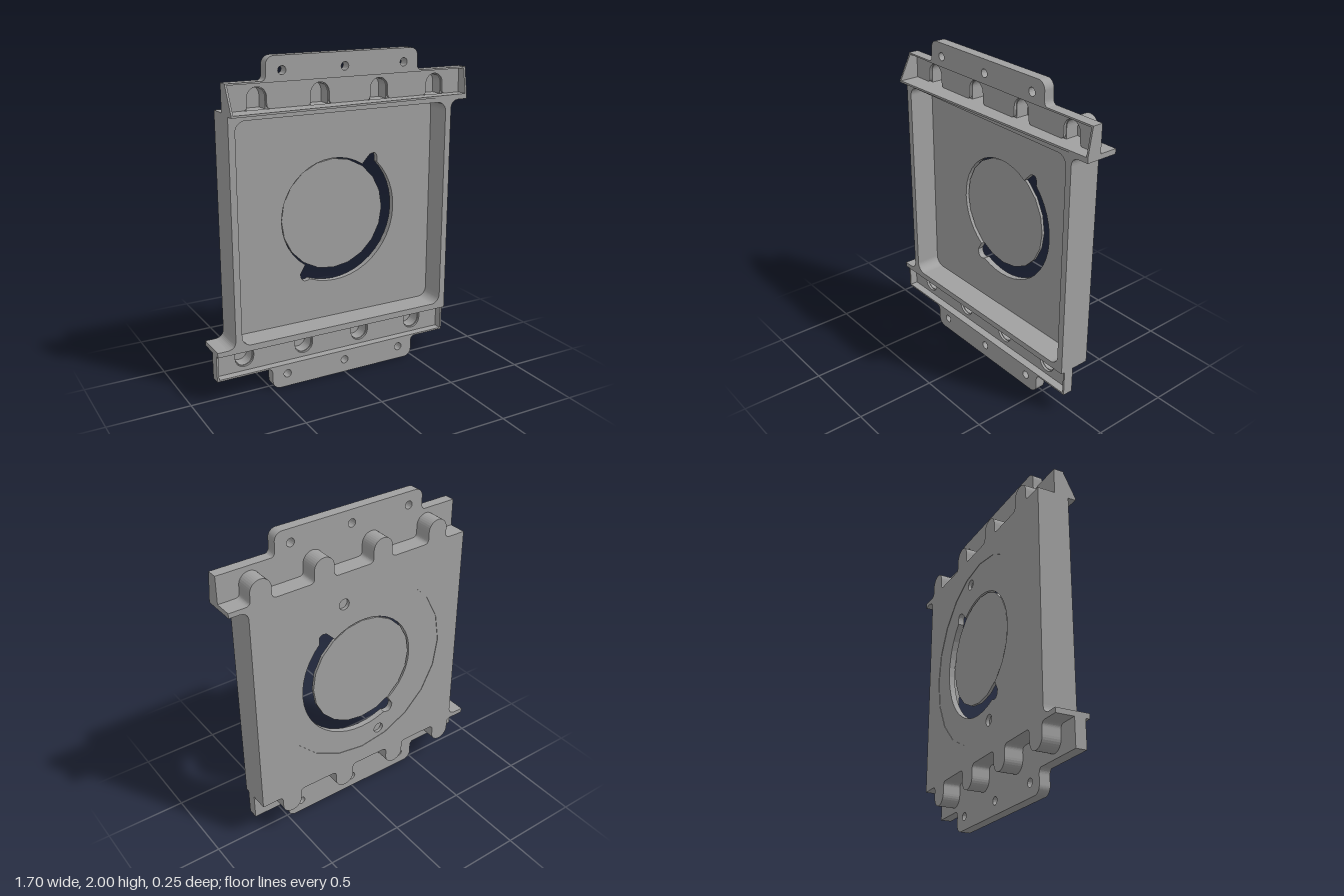
import * as THREE from 'three';

const metal = new THREE.MeshStandardMaterial({ color: 0xa0a0a0 });
metal.name = 'grey';
metal.side = THREE.DoubleSide;

const BACK = -0.125, RIM = 0.075, PLATE = -0.015, FRONT = 0.05;
const BASE = 0.7; // height of the tray's outer wall above the model centre
const BUMPS = [-0.53, -0.135, 0.26, 0.655];

// extrude a shape between two z planes
function slab(name, shape, z0, z1, parent, curveSegments = 8) {
  const geo = new THREE.ExtrudeGeometry(shape, { depth: z1 - z0, bevelEnabled: false, curveSegments });
  geo.translate(0, 0, z0);
  const mesh = new THREE.Mesh(geo, metal);
  mesh.name = name;
  parent.add(mesh);
  return mesh;
}

function box(name, x0, x1, y0, y1, z0, z1, parent) {
  const mesh = new THREE.Mesh(new THREE.BoxGeometry(x1 - x0, y1 - y0, z1 - z0), metal);
  mesh.position.set((x0 + x1) / 2, (y0 + y1) / 2, (z0 + z1) / 2);
  mesh.name = name;
  parent.add(mesh);
}

function poly(points) {
  return new THREE.Shape(points.map(([x, y]) => new THREE.Vector2(x, y)));
}

function circle(x, y, r) {
  return new THREE.Path().absarc(x, y, r, 0, Math.PI * 2, true);
}

function roundedRect(w, h, r) {
  const p = new THREE.Path();
  p.absarc(w - r, h - r, r, 0, Math.PI / 2);
  p.absarc(-w + r, h - r, r, Math.PI / 2, Math.PI);
  p.absarc(-w + r, -h + r, r, Math.PI, Math.PI * 1.5);
  p.absarc(w - r, -h + r, r, Math.PI * 1.5, Math.PI * 2);
  p.closePath();
  return p;
}

// finger outline, traced left to right, with filleted feet
function traceBump(p, c, w = 0.065, f = 0.03) {
  p.lineTo(c - w - f, BASE);
  p.quadraticCurveTo(c - w, BASE, c - w, BASE + f);
  p.lineTo(c - w, 0.77);
  p.absarc(c, 0.77, w, Math.PI, 0, true);
  p.lineTo(c + w, BASE + f);
  p.quadraticCurveTo(c + w, BASE, c + w + f, BASE);
}

// round opening that is wider on its lower right half, with a notch at each end
function slotOpening() {
  const a = 0.88, b = Math.PI * 1.34, p = new THREE.Path();
  const at = (r, t) => [r * Math.cos(t), r * Math.sin(t)];
  p.moveTo(...at(0.355, a + 0.1));
  p.absarc(0, 0, 0.355, a + 0.1, b - 0.1, false);
  p.lineTo(...at(0.42, b - 0.09));
  p.quadraticCurveTo(...at(0.475, b), ...at(0.425, b + 0.09));
  p.absarc(0, 0, 0.425, b + 0.1, Math.PI * 2 + a - 0.1, false);
  p.quadraticCurveTo(...at(0.49, a), ...at(0.43, a + 0.07));
  p.closePath();
  return p;
}

// flange with hollow fingers and a screw ear, drawn for the top end
function buildEnd(name) {
  const g = new THREE.Group();
  g.name = name;

  // thin plate, cut away where the fingers open
  const plate = new THREE.Shape();
  plate.moveTo(-0.735, 0.865);
  plate.lineTo(-0.735, BASE);
  BUMPS.forEach((c) => traceBump(plate, c, 0.06));
  plate.lineTo(0.85, BASE);
  plate.lineTo(0.85, 0.865);
  slab('flangePlate', plate, PLATE, 0, g);
  box('flangeRim', -0.735, 0.85, 0.855, 0.865, PLATE, FRONT, g);
  box('flangeEnd', -0.735, -0.723, 0.695, 0.865, PLATE, FRONT, g);
  box('flangeEnd', 0.838, 0.85, 0.67, 0.865, PLATE, FRONT, g);

  for (const c of BUMPS) {
    const floor = new THREE.Shape();
    floor.moveTo(c - 0.095, BASE);
    traceBump(floor, c);
    slab('fingerFloor', floor, BACK, -0.095, g);
    const wall = new THREE.Shape();
    wall.moveTo(c - 0.095, BASE);
    traceBump(wall, c);
    wall.lineTo(c + 0.055, BASE);
    wall.lineTo(c + 0.055, 0.77);
    wall.absarc(c, 0.77, 0.055, 0, Math.PI, false);
    wall.lineTo(c - 0.055, BASE);
    slab('fingerWall', wall, -0.095, PLATE, g);
  }

  // screw ear with rounded corners and filleted feet
  const ear = new THREE.Shape();
  ear.moveTo(-0.53, 0.86);
  ear.quadraticCurveTo(-0.495, 0.865, -0.495, 0.9);
  ear.lineTo(-0.495, 0.95);
  ear.absarc(-0.445, 0.95, 0.05, Math.PI, Math.PI / 2, true);
  ear.absarc(0.445, 0.95, 0.05, Math.PI / 2, 0, true);
  ear.lineTo(0.495, 0.9);
  ear.quadraticCurveTo(0.495, 0.865, 0.53, 0.86);
  for (const x of [-0.397, 0, 0.397]) ear.holes.push(circle(x, 0.918, 0.025));
  slab('screwEar', ear, PLATE, FRONT, g);

  // side tab with a fillet down to the tray wall
  const tab = new THREE.Shape();
  tab.moveTo(0.72, BASE);
  tab.lineTo(0.85, BASE);
  tab.lineTo(0.85, 0.67);
  tab.lineTo(0.785, 0.67);
  tab.quadraticCurveTo(0.735, 0.665, 0.735, 0.615);
  tab.lineTo(0.72, 0.615);
  slab('sideTab', tab, BACK, RIM, g);
  return g;
}

export function createModel() {
  const model = new THREE.Group();
  model.name = 'mountingBracket';
  const body = new THREE.Group();
  body.name = 'body';
  body.position.y = 1;
  model.add(body);

  // tray walls
  const outline = () => poly([[-0.735, -BASE], [0.735, -BASE], [0.735, BASE], [-0.735, BASE]]);
  const walls = outline();
  walls.holes.push(roundedRect(0.695, 0.662, 0.06));
  slab('trayWalls', walls, -0.085, RIM, body);

  // tray floor in layers: shallow round step, blind holes, then the inside face
  const layers = [
    [BACK, -0.122, [circle(0, 0, 0.585)]],
    [-0.122, -0.1, [slotOpening(), circle(0.13, 0.5, 0.034), circle(-0.13, -0.5, 0.034)]],
    [-0.1, -0.085, [slotOpening()]],
  ];
  for (const [z0, z1, holes] of layers) {
    const floor = outline();
    floor.holes.push(...holes);
    slab('trayFloor', floor, z0, z1, body, 10);
  }

  // centre disc
  const disc = new THREE.Shape().absarc(0, 0, 0.348, 0, Math.PI * 2);
  slab('centreDisc', disc, -0.118, -0.1, body, 10);

  // matching ends, the lower one turned half way round
  body.add(buildEnd('topEnd'));
  const bottom = buildEnd('bottomEnd');
  bottom.rotation.z = Math.PI;
  body.add(bottom);

  // tapering gutter ledge along the top flange
  const ledge = slab('gutterLedge', poly([[-0.735, 0], [0.85, 0], [0.85, 0.075], [-0.735, 0.125]]), 0, 0.012, body);
  ledge.rotation.x = Math.PI / 2;
  ledge.position.y = 0.702;

  // sloped gussets closing the gutter ends
  for (const [x, tip] of [[-0.735, 0.125], [0.838, 0.075]]) {
    const gusset = slab('gutterGusset', poly([[0, 0.69], [-tip, 0.69], [-tip, 0.705], [-FRONT, 0.855], [0, 0.855]]), 0, 0.012, body);
    gusset.rotation.y = Math.PI / 2;
    gusset.position.x = x;
  }
  return model;
}
